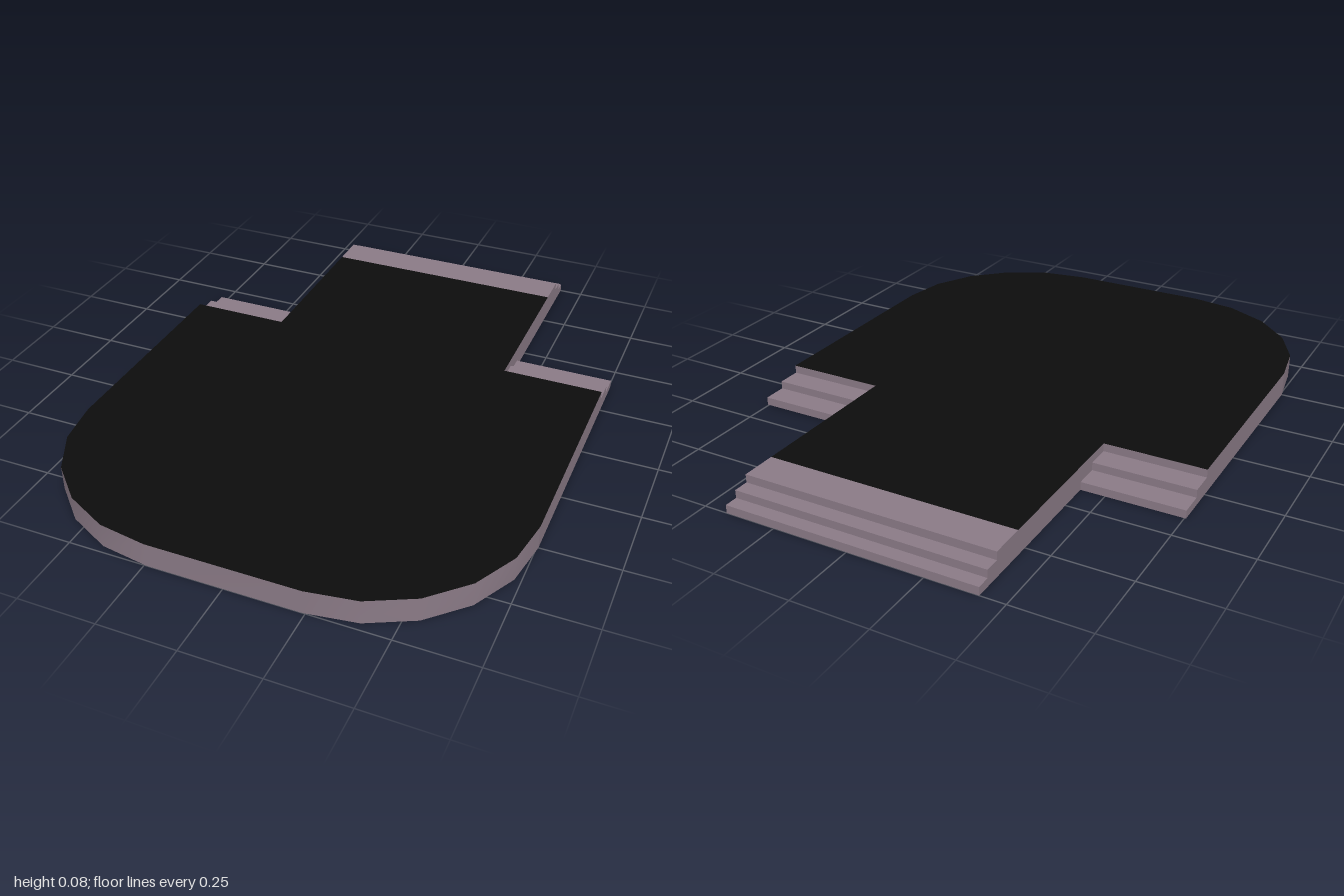
import * as THREE from 'three';

const H = 0.08, STEP1 = 0.053, STEP2 = 0.027;   // deck and step heights
const W = 0.755, N = 0.42;                      // half widths: deck, rear walkway

export function createModel() {
  const group = new THREE.Group();
  group.name = 'steppedPlatform';
  const mauve = new THREE.MeshStandardMaterial({ color: 0x8a7a86, side: THREE.DoubleSide });
  mauve.name = 'mauve trim';
  const black = new THREE.MeshStandardMaterial({ color: 0x0d0d0d, side: THREE.DoubleSide });
  black.name = 'black floor';

  const add = (name, geometry, material) => {
    const mesh = new THREE.Mesh(geometry, material);
    mesh.name = name;
    group.add(mesh);
  };

  // Strip of quads joining two polylines of [x, y, z] points
  const ribbon = (a, b, smooth) => {
    const geo = new THREE.BufferGeometry();
    const index = [];
    for (let i = 0; i < a.length - 1; i++) {
      const j = i + a.length;
      index.push(i, j, i + 1, i + 1, j, j + 1);
    }
    geo.setAttribute('position', new THREE.Float32BufferAttribute([...a, ...b].flat(), 3));
    geo.setIndex(index);
    const out = smooth ? geo : geo.toNonIndexed();
    out.computeVertexNormals();
    return out;
  };

  // Rounded front outline, from the right side (-x) round to the left (+x)
  const corner = [];
  for (let i = 0; i <= 5; i++) {
    const t = (i / 5) * Math.PI / 2;
    corner.push([0.243 + (W - 0.243) * Math.cos(t), 0.5 + 0.5 * Math.sin(t)]);
  }
  const front = [...corner.map(([x, z]) => [-x, z]), ...[...corner].reverse()];

  // Floor: wide deck plus rear walkway
  const floorOutline = [...front, [W, -0.24], [N, -0.24], [N, -0.788],
    [-N, -0.788], [-N, -0.24], [-W, -0.24]];
  const floor = new THREE.ShapeGeometry(
    new THREE.Shape(floorOutline.map(([x, z]) => new THREE.Vector2(x, -z))));
  floor.rotateX(-Math.PI / 2).translate(0, H, 0);
  add('floor', floor, black);

  // Curved front wall, open underneath
  add('frontWall', ribbon(
    front.map(([x, z]) => [x, H, z]), front.map(([x, z]) => [x, 0, z]), true), mauve);

  // Step profiles as [z, y], from the deck down to the ground
  const sideSteps = [[-0.24, H], [-0.24, STEP1], [-0.32, STEP1],
    [-0.32, STEP2], [-0.4, STEP2], [-0.4, 0]];
  const rearSteps = [[-0.788, H], [-0.905, H], [-0.905, STEP1], [-0.955, STEP1],
    [-0.955, STEP2], [-1, STEP2], [-1, 0]];

  const stairs = (x0, x1, profile) => ribbon(
    profile.map(([z, y]) => [x1, y, z]), profile.map(([z, y]) => [x0, y, z]));
  add('rearSteps', stairs(-N, N, rearSteps), mauve);
  add('leftSteps', stairs(N, W, sideSteps), mauve);
  add('rightSteps', stairs(-W, -N, sideSteps), mauve);

  // Upright side walls cut to the step profiles
  const deckWall = [...sideSteps, [0.5, 0], [0.5, H]];
  const walkwayWall = [...sideSteps, ...[...rearSteps].reverse()];
  for (const [side, s] of [['left', 1], ['right', -1]]) {
    for (const [name, x, profile] of [['DeckWall', W, deckWall], ['WalkwayWall', N, walkwayWall]]) {
      const shape = new THREE.Shape(profile.map(([z, y]) => new THREE.Vector2(-s * z, y)));
      const geo = new THREE.ShapeGeometry(shape);
      geo.rotateY(s * Math.PI / 2).translate(s * x, 0, 0);
      add(side + name, geo, mauve);
    }
  }
  return group;
}
